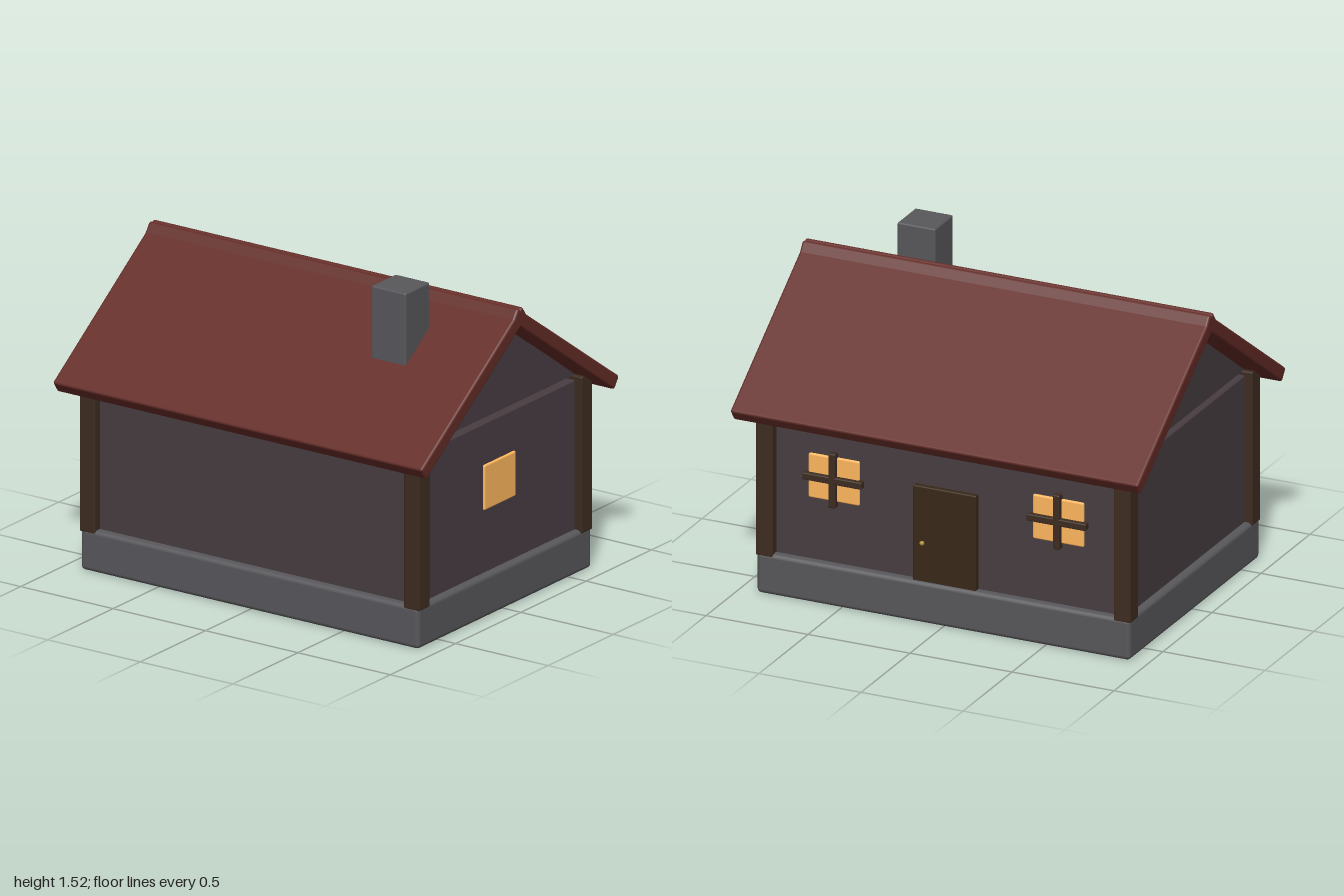
import * as THREE from 'three';
import { RoundedBoxGeometry } from 'three/addons/geometries/RoundedBoxGeometry.js';

const material = (color) => new THREE.MeshStandardMaterial({ color });

export function createModel() {
  const house = new THREE.Group();
  house.name = 'house';

  const stone = material(0x58585c);
  const plaster = material(0x483d42);
  const timber = material(0x3d2c20);
  const doorWood = material(0x382818);
  const tile = material(0x632b26);
  const glow = material(0xffb85f);
  const brass = material(0xb08a3a);

  // Softly rounded box placed by its centre
  function box(name, mat, [w, h, d], [x, y, z], radius = 0.006, parent = house) {
    const mesh = new THREE.Mesh(new RoundedBoxGeometry(w, h, d, 2, radius), mat);
    mesh.name = name;
    mesh.position.set(x, y, z);
    parent.add(mesh);
    return mesh;
  }

  // Base and walls
  box('foundation', stone, [1.83, 0.195, 1.33], [0, 0.0975, 0], 0.02);
  box('walls', plaster, [1.76, 0.715, 1.25], [0, 0.5375, 0], 0.008);

  // Corner posts
  for (const sx of [-1, 1]) {
    for (const sz of [-1, 1]) {
      box('cornerPost', timber, [0.083, 0.735, 0.083], [sx * 0.877, 0.5475, sz * 0.623]);
    }
  }

  // Gable prism, leaving a thin slit above the walls
  const triangle = new THREE.Shape();
  triangle.moveTo(-0.6, 0.915);
  triangle.lineTo(0.6, 0.915);
  triangle.lineTo(0, 1.345);
  triangle.closePath();
  const gable = new THREE.Mesh(
    new THREE.ExtrudeGeometry(triangle, { depth: 1.74, bevelEnabled: false }).translate(0, 0, -0.87),
    plaster
  );
  gable.name = 'gable';
  gable.rotation.y = Math.PI / 2;
  house.add(gable);

  // Roof slabs crossing at the ridge
  const pitch = THREE.MathUtils.degToRad(35);
  for (const s of [-1, 1]) {
    const slab = box('roofSlab', tile, [2, 0.067, 0.947], [0, 1.132, s * 0.352], 0.012);
    slab.rotation.x = s * pitch;
  }

  box('chimney', stone, [0.186, 0.42, 0.186], [0.526, 1.307, 0.25], 0.008);

  // Door with knob on the back wall
  box('door', doorWood, [0.31, 0.46, 0.04], [0, 0.417, -0.63]);
  const knob = new THREE.Mesh(new THREE.SphereGeometry(0.011, 16, 12), brass);
  knob.name = 'doorKnob';
  knob.position.set(0.105, 0.38, -0.66);
  house.add(knob);

  // Cross-barred windows either side of the door
  for (const s of [-1, 1]) {
    const win = new THREE.Group();
    win.name = 'backWindow';
    win.position.set(s * 0.55, 0.595, -0.625);
    house.add(win);
    box('windowPane', glow, [0.25, 0.212, 0.02], [0, 0, 0], 0.008, win);
    box('verticalBar', timber, [0.034, 0.26, 0.04], [0, 0, -0.012], 0.006, win);
    box('horizontalBar', timber, [0.29, 0.034, 0.04], [0, 0, -0.012], 0.006, win);
  }

  // Plain window in the left gable wall
  box('sideWindow', glow, [0.02, 0.212, 0.242], [0.88, 0.595, 0], 0.008);

  return house;
}
